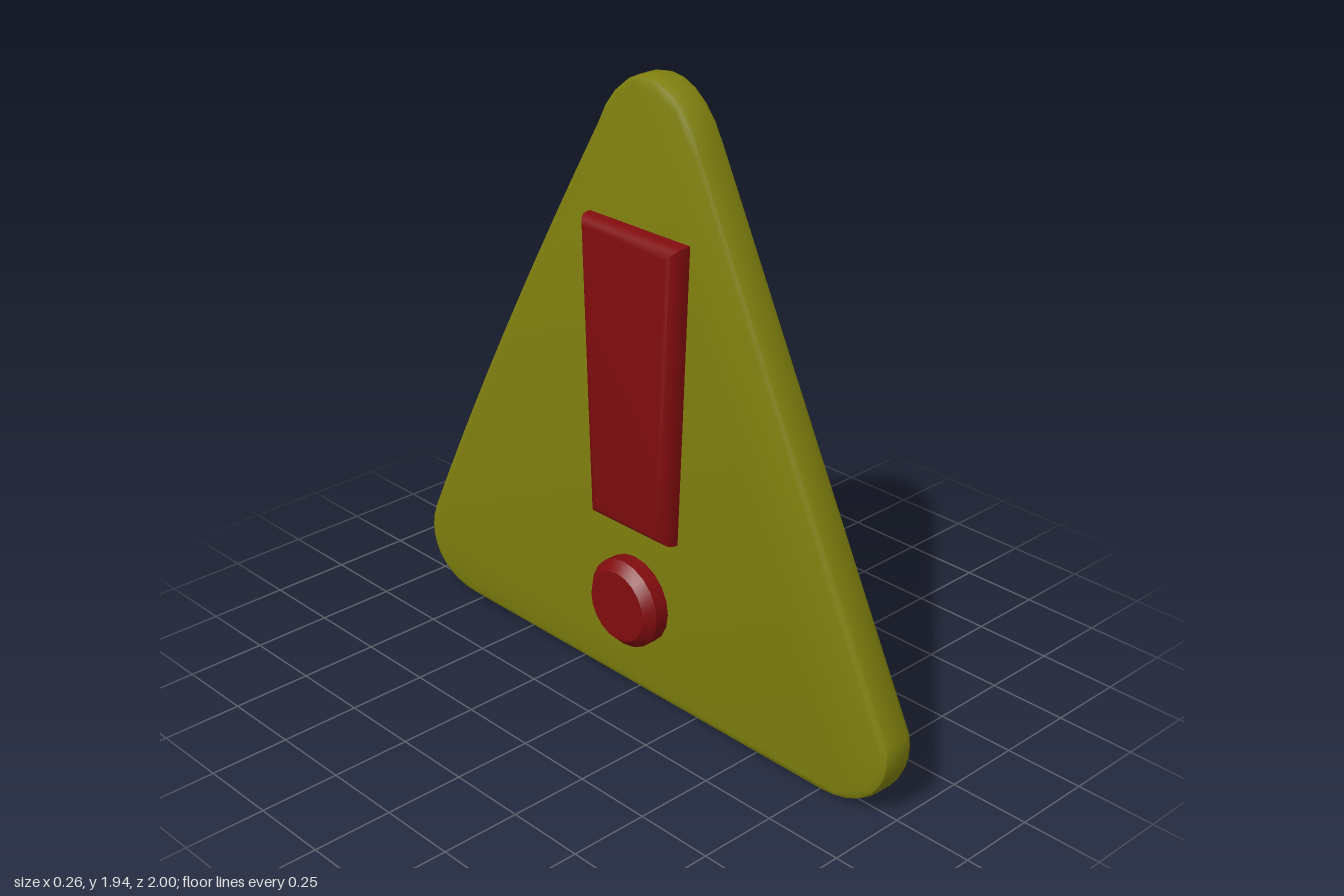
import * as THREE from 'three';
import { toCreasedNormals } from 'three/addons/utils/BufferGeometryUtils.js';

const yellow = new THREE.MeshStandardMaterial({ color: 0x80800f });
const red = new THREE.MeshStandardMaterial({ color: 0x800c0e });

// Bevelled slab: outline drawn in (z, y), thickness centred on x = 0
function slab(name, shape, halfWidth, bevelThickness, bevelSize, bevelSegments, material, crease) {
  const depth = 2 * (halfWidth - bevelThickness);
  const geo = new THREE.ExtrudeGeometry(shape, {
    depth, bevelThickness, bevelSize, bevelOffset: -bevelSize, bevelSegments, curveSegments: 10,
  });
  geo.translate(0, 0, -depth / 2);
  geo.rotateY(-Math.PI / 2);
  const mesh = new THREE.Mesh(toCreasedNormals(geo, crease), material);
  mesh.name = name;
  return mesh;
}

export function createModel() {
  const group = new THREE.Group();
  group.name = 'warningSign';

  // Rounded triangular plate, slightly lopsided
  const plate = new THREE.Shape();
  plate.moveTo(-0.78, 0.01);
  plate.lineTo(0.76, 0.005);
  plate.bezierCurveTo(0.93, 0.01, 1.02, 0.13, 0.995, 0.26);
  plate.lineTo(0.25, 1.77);
  plate.bezierCurveTo(0.15, 2.0, -0.06, 2.0, -0.16, 1.77);
  plate.quadraticCurveTo(-0.64, 0.97, -0.975, 0.27);
  plate.bezierCurveTo(-1.04, 0.13, -0.95, 0.01, -0.78, 0.01);
  group.add(slab('plate', plate, 0.056, 0.028, 0.022, 2, yellow, 0.6));

  // Tapered bar, standing proud on both faces
  const bar = new THREE.Shape([
    new THREE.Vector2(-0.15, 0.57), new THREE.Vector2(0.18, 0.57),
    new THREE.Vector2(0.222, 1.505), new THREE.Vector2(-0.183, 1.505),
  ]);
  group.add(slab('markBar', bar, 0.113, 0.045, 0.04, 4, red, 0.7));

  // Round dot below the bar, with chamfered rims
  const dot = new THREE.Shape();
  dot.absarc(0, 0.32, 0.141, 0, Math.PI * 2, false);
  group.add(slab('markDot', dot, 0.132, 0.03, 0.028, 1, red, 0.5));

  return group;
}
